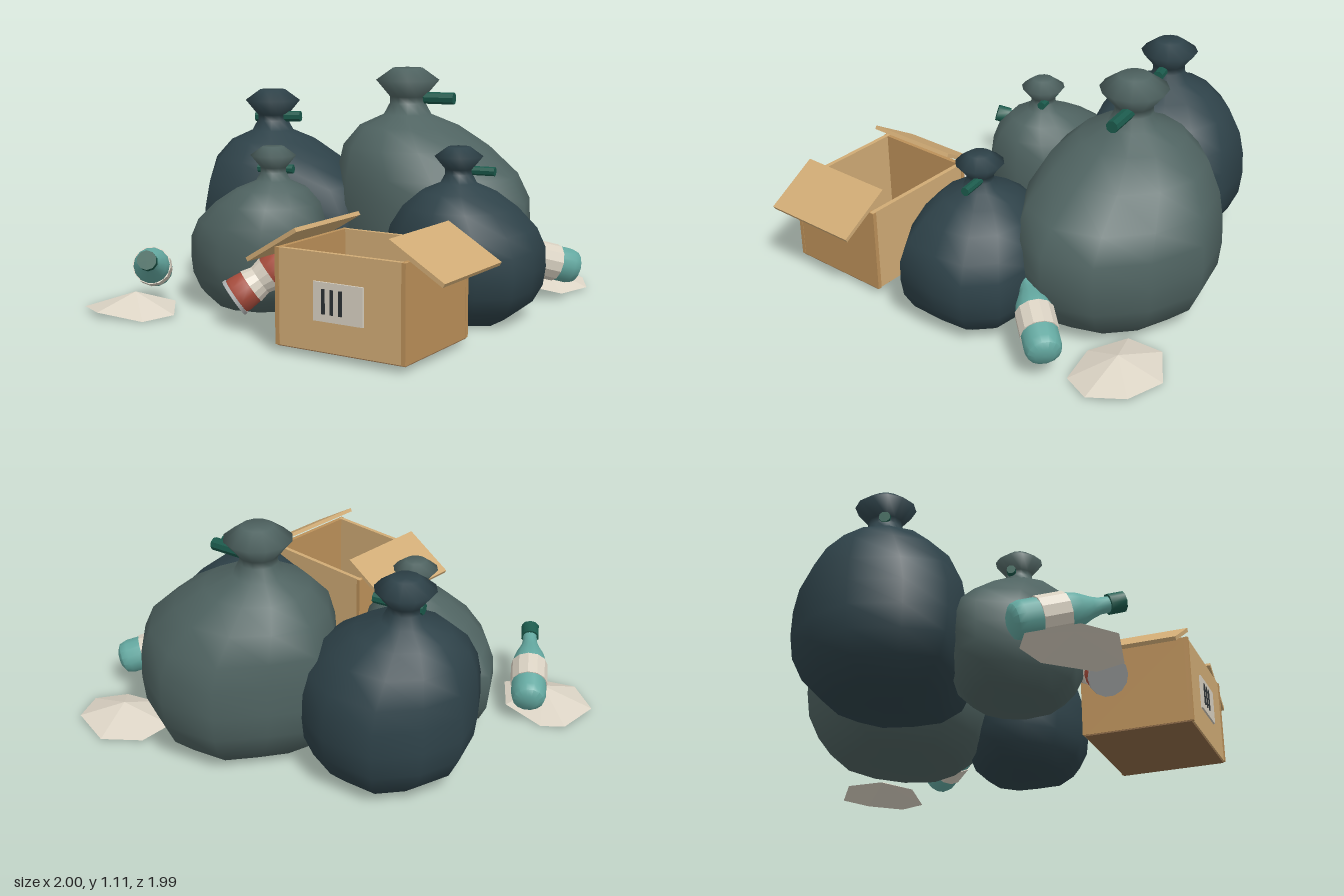
import * as THREE from 'three';
import { mergeVertices, toCreasedNormals } from 'three/addons/utils/BufferGeometryUtils.js';

const mat = (color, extra = {}) => new THREE.MeshStandardMaterial({ color, ...extra });
const palePlastic = mat(0x4f6361), darkPlastic = mat(0x2e4249), tieGreen = mat(0x1b5a4c);
const glass = mat(0x64a9a1), cream = mat(0xd9d1c2), red = mat(0xa84c3c), metal = mat(0xb0b3b3);
const card = mat(0xd0ab75), sideCard = mat(0xbb9059), floorCard = mat(0x8f6b47), ink = mat(0x2b3033);
const paper = mat(0xdcd4c5, { flatShading: true, side: THREE.DoubleSide });

function add(parent, name, geometry, material) {
  const mesh = new THREE.Mesh(geometry, material);
  mesh.name = name;
  parent.add(mesh);
  return mesh;
}

function group(parent, name) {
  const g = new THREE.Group();
  g.name = name;
  parent.add(g);
  return g;
}

// Place a y-axis object so that it runs from one point towards another
function aim(object, from, to) {
  const a = new THREE.Vector3(...from), d = new THREE.Vector3(...to).sub(a);
  object.position.copy(a);
  object.quaternion.setFromUnitVectors(new THREE.Vector3(0, 1, 0), d.normalize());
}

const lathe = (points, sides, crease = 0.8) => toCreasedNormals(
  new THREE.LatheGeometry(points.map(([r, y]) => new THREE.Vector2(r, y)), sides), crease);

// Bag silhouette: radius and height, both as fractions
const bagProfile = [
  [0, 0], [0.62, 0], [0.86, 0.09], [0.97, 0.19], [1, 0.3], [0.99, 0.42], [0.92, 0.53],
  [0.74, 0.65], [0.5, 0.74], [0.24, 0.79], [0.18, 0.84], [0.18, 0.87], [0.32, 0.945],
  [0.15, 1], [0, 0.995],
];

// Sack lofted from an uneven outline (x, z from the front, turning to +x) to a round neck
function bag(parent, { name, material, height, centre, outline, neck, radius, tie }) {
  const g = group(parent, name);
  const geo = new THREE.LatheGeometry(bagProfile.map(([r, y]) => new THREE.Vector2(r, y)), outline.length);
  const p = geo.attributes.position, mix = THREE.MathUtils.lerp;
  for (let i = 0; i < p.count; i++) {
    const [r, t] = bagProfile[i % bagProfile.length];
    const [ox, oz] = outline[Math.floor(i / bagProfile.length) % outline.length];
    const w = 1 - THREE.MathUtils.smoothstep(t, 0.42, 0.8);
    p.setXYZ(i,
      mix(neck[0] + p.getX(i) * radius, mix(centre[0], ox, r), w),
      mix(0.012, height, t),
      mix(neck[1] + p.getZ(i) * radius, mix(centre[1], oz, r), w));
  }
  geo.deleteAttribute('uv');
  geo.deleteAttribute('normal');
  const sack = mergeVertices(geo, 1e-4);
  sack.computeVertexNormals();
  add(g, 'sack', sack, material);

  // Tie pushed through the neck
  const [from, to, size] = tie;
  const length = new THREE.Vector3(...from).distanceTo(new THREE.Vector3(...to));
  const knot = new THREE.CylinderGeometry(size, size, length, 8).translate(0, length / 2, 0);
  aim(add(g, 'tie', toCreasedNormals(knot, 0.5), tieGreen), from, to);
}

function bottle(parent, name, from, to) {
  const g = group(parent, name);
  add(g, 'glass', lathe([[0, -0.025], [0.045, -0.022], [0.075, -0.004], [0.085, 0.03], [0.085, 0.23],
    [0.074, 0.28], [0.048, 0.34], [0.036, 0.38], [0.034, 0.43], [0, 0.43]], 14), glass);
  add(g, 'label', lathe([[0.082, 0.1], [0.09, 0.1], [0.09, 0.225], [0.082, 0.225]], 12, 0.3), cream);
  add(g, 'cap', lathe([[0, 0.42], [0.045, 0.42], [0.045, 0.49], [0, 0.49]], 10, 0.7), tieGreen);
  aim(g, from, to);
}

// Can squeezed at the waist
function can(parent, from, to) {
  const g = group(parent, 'can');
  add(g, 'canBody', lathe([[0.084, 0.012], [0.088, 0.03], [0.082, 0.085], [0.066, 0.145],
    [0.082, 0.205], [0.088, 0.26], [0.084, 0.278]], 14), red);
  add(g, 'canBand', lathe([[0.076, 0.095], [0.084, 0.095], [0.071, 0.145], [0.084, 0.195],
    [0.076, 0.195]], 14, 0.3), cream);
  for (const [label, y] of [['canBase', 0], ['canLid', 0.275]])
    add(g, label, lathe([[0, y], [0.092, y], [0.092, y + 0.016], [0, y + 0.016]], 14), metal);
  aim(g, from, to);
}

function cardboardBox(parent) {
  const g = group(parent, 'cardboardBox');
  const box = (name, w, h, d, x, y, z, m = card) => {
    const mesh = add(g, name, new THREE.BoxGeometry(w, h, d), m);
    mesh.position.set(x, y, z);
    return mesh;
  };
  const cx = 0.522, cz = 0.715;
  box('boxFloor', 0.62, 0.02, 0.51, cx, 0.045, cz, floorCard);
  for (const s of [-1, 1]) {
    box(s > 0 ? 'frontWall' : 'backWall', 0.62, 0.415, 0.022, cx, 0.248, cz + s * 0.25);
    box(s > 0 ? 'leftWall' : 'rightWall', 0.022, 0.415, 0.5, cx + s * 0.302, 0.248, cz, sideCard);
    // Corner strips
    for (const t of [-1, 1])
      box('cornerStrip', 0.02, 0.415, 0.02, cx + s * 0.305, 0.248, cz + t * 0.255, sideCard);
    // Tilted flap resting on the wall top
    box(s > 0 ? 'leftFlap' : 'rightFlap', 0.295, 0.019, 0.494, cx + s * 0.348, 0.457, cz).rotation.z = -s * 0.54;
  }
  // Shipping label with plain bars
  box('shippingLabel', 0.24, 0.165, 0.01, cx, 0.253, 0.98, cream);
  for (const x of [0.452, 0.493, 0.535])
    box('labelBar', 0.016, 0.105, 0.01, x, 0.255, 0.984, ink);
}

// Crumpled sheet: a shallow fan around a raised middle
function sheet(parent, name, apex, rim) {
  const v = [];
  const corner = (i) => [rim[i][0], 0.005 + 0.014 * (1 + Math.sin(i * 2.1)), rim[i][1]];
  rim.forEach((_, i) => v.push(...apex, ...corner(i), ...corner((i + 1) % rim.length)));
  const geo = new THREE.BufferGeometry();
  geo.setAttribute('position', new THREE.Float32BufferAttribute(v, 3));
  geo.computeVertexNormals();
  add(parent, name, geo, paper);
}

export function createModel() {
  const model = new THREE.Group();
  model.name = 'rubbishPile';

  // Rubbish bags
  bag(model, { name: 'largeBag', material: palePlastic, height: 1.12,
    centre: [0.15, -0.47], neck: [0.02, -0.435], radius: 0.5,
    outline: [[0.17, -0.02], [0.4, -0.07], [0.6, -0.2], [0.69, -0.42], [0.61, -0.65], [0.42, -0.83],
      [0.16, -0.93], [-0.11, -0.86], [-0.26, -0.66], [-0.39, -0.46], [-0.3, -0.25], [-0.12, -0.06]],
    tie: [[0.04, 0.97, -0.45], [0.26, 0.97, -0.485], 0.03] });
  bag(model, { name: 'backBag', material: darkPlastic, height: 1.0,
    centre: [-0.54, -0.2], neck: [-0.64, -0.185], radius: 0.44,
    outline: [[-0.56, 0.19], [-0.33, 0.11], [-0.09, 0.02], [-0.1, -0.2], [-0.17, -0.42], [-0.34, -0.53],
      [-0.53, -0.595], [-0.79, -0.56], [-0.93, -0.38], [-0.985, -0.18], [-0.9, 0.04], [-0.79, 0.2]],
    tie: [[-0.72, 0.86, -0.15], [-0.49, 0.865, -0.22], 0.027] });
  bag(model, { name: 'sideBag', material: darkPlastic, height: 0.8,
    centre: [0.55, 0.015], neck: [0.56, 0.025], radius: 0.35,
    outline: [[0.58, 0.33], [0.79, 0.29], [0.93, 0.2], [0.935, 0], [0.92, -0.16], [0.8, -0.28],
      [0.6, -0.3], [0.42, -0.25], [0.25, -0.13], [0.17, 0], [0.24, 0.15], [0.37, 0.27]],
    tie: [[0.57, 0.69, 0], [0.72, 0.69, -0.025], 0.021] });
  bag(model, { name: 'frontBag', material: palePlastic, height: 0.78,
    centre: [-0.385, 0.32], neck: [-0.27, 0.325], radius: 0.34,
    outline: [[-0.36, 0.63], [-0.16, 0.59], [-0.04, 0.49], [-0.015, 0.3], [-0.08, 0.15], [-0.2, 0.06],
      [-0.38, 0.03], [-0.55, 0.08], [-0.7, 0.2], [-0.76, 0.31], [-0.66, 0.47], [-0.53, 0.58]],
    tie: [[-0.36, 0.67, 0.32], [-0.19, 0.67, 0.275], 0.021] });

  // Loose litter
  cardboardBox(model);
  bottle(model, 'frontBottle', [-0.845, 0.155, 0.52], [-0.565, 0.3, 0.9]);
  bottle(model, 'backBottle', [0.87, 0.165, -0.59], [0.57, 0.295, -0.23]);
  can(model, [-0.215, 0.13, 0.715], [-0.03, 0.295, 0.555]);
  sheet(model, 'frontPaper', [-0.77, 0.1, 0.75], [[-1, 0.85], [-0.83, 0.95], [-0.6, 0.9],
    [-0.53, 0.76], [-0.68, 0.57], [-0.9, 0.56], [-1, 0.62]]);
  sheet(model, 'backPaper', [0.62, 0.1, -0.8], [[0.4, -0.7], [0.6, -0.62], [0.79, -0.65],
    [0.86, -0.8], [0.77, -0.96], [0.56, -1], [0.39, -0.88]]);
  return model;
}
